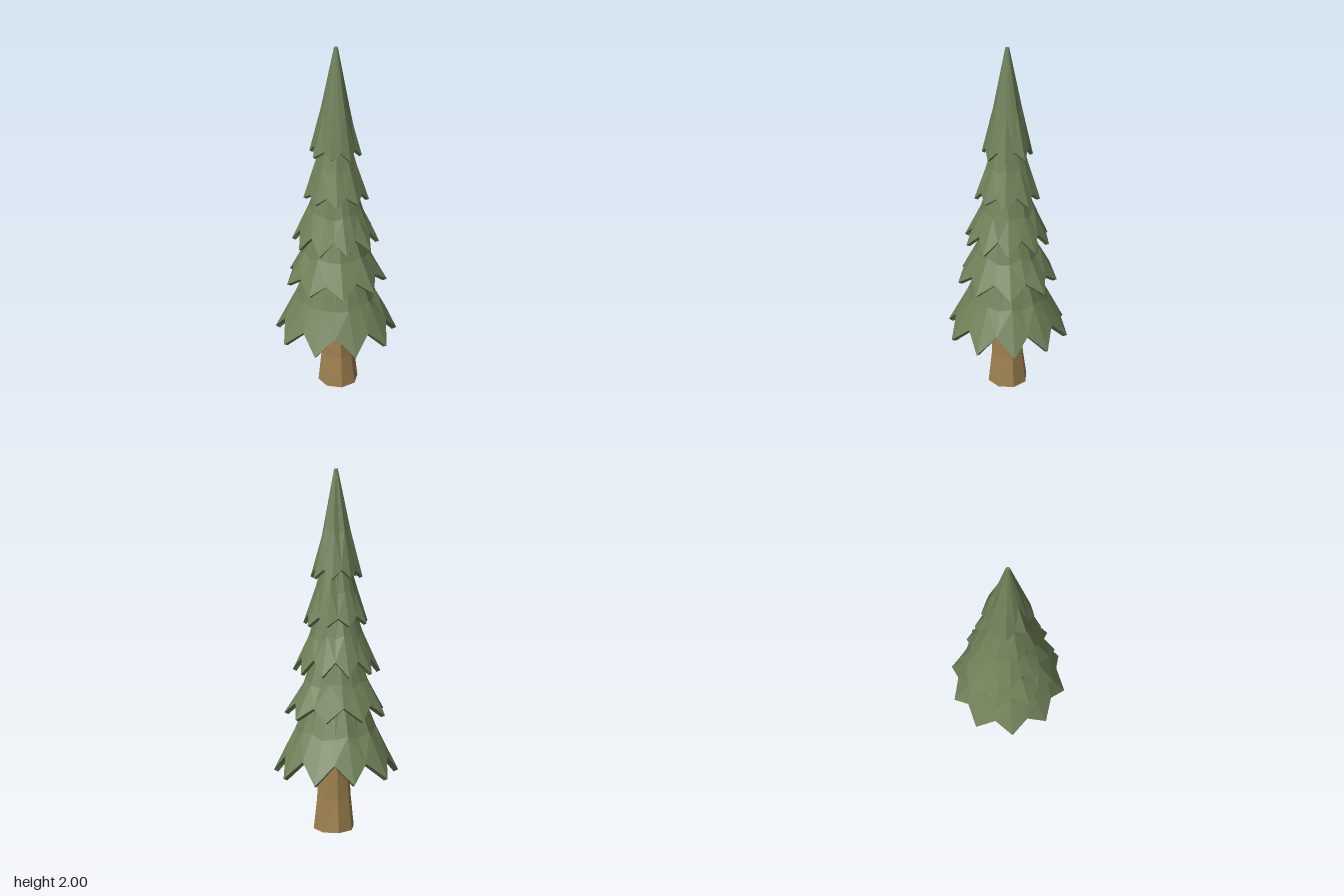
import * as THREE from 'three';

// Small seeded random in -1..1
let seed = 7;
const jitter = (a) => {
  seed = (seed * 16807) % 2147483647;
  return (seed / 2147483647 * 2 - 1) * a;
};

const green = new THREE.MeshStandardMaterial({ color: 0x6f8159, flatShading: true, side: THREE.DoubleSide });
const bark = new THREE.MeshStandardMaterial({ color: 0x9f814f, flatShading: true });

// Skins closed rings of points, given from top to bottom, counted from +x towards +z
function skin(rings, closeBottom) {
  const n = rings[0].length;
  const index = [];
  for (let i = 0; i < rings.length - 1; i++) {
    for (let j = 0; j < n; j++) {
      const a = i * n + j, b = i * n + (j + 1) % n, c = a + n, d = b + n;
      if (j % 2) index.push(a, b, c, b, d, c);
      else index.push(a, d, c, a, b, d);
    }
  }
  const last = (rings.length - 1) * n;
  for (let j = 1; j < n - 1; j++) {
    index.push(0, j + 1, j);
    if (closeBottom) index.push(last, last + j, last + j + 1);
  }
  const geo = new THREE.BufferGeometry();
  geo.setAttribute('position', new THREE.Float32BufferAttribute(rings.flat(2), 3));
  geo.setIndex(index);
  const flat = geo.toNonIndexed();
  flat.computeVertexNormals();
  return flat;
}

// One skirt of branches: a hollow shell with a zigzag hem, thick at the edge
function skirt({ name, n, phase, swing, top, mid, tip, notch, thick, wobble }) {
  const rings = [[], [], [], [], []];
  for (let j = 0; j < 2 * n; j++) {
    const isTip = j % 2 === 0;
    const even = phase + (j * Math.PI) / n;
    const a = even - swing * Math.sin(even) + jitter(wobble);
    const put = (ring, r, y) => rings[ring].push([Math.cos(a) * r - 0.003, y, Math.sin(a) * r]);
    const [hr, hy] = isTip ? tip : notch;
    const r = hr + jitter(wobble * 0.25), y = hy + jitter(wobble * 0.3);
    put(0, top[0], top[1]);
    put(1, mid[0] * (isTip ? 1.02 : 0.98) + jitter(wobble * 0.15), mid[1] + jitter(wobble));
    put(2, r, y);
    put(3, r - thick, y - thick * 0.5);
    put(4, mid[0] * 0.4, mid[1] + 0.12);
  }
  const mesh = new THREE.Mesh(skin(rings, false), green);
  mesh.name = name;
  return mesh;
}

export function createModel() {
  seed = 7;
  const tree = new THREE.Group();
  tree.name = 'pineTree';

  // Trunk: eight sides, flared at the foot
  const trunkRings = [[0.072, 0.75], [0.083, 0.42], [0.095, 0.18], [0.117, 0]].map(([r, y]) =>
    Array.from({ length: 8 }, (_, j) => {
      const a = ((j + 0.5) * Math.PI) / 4;
      const s = r * (1 + (y ? jitter(0.04) : 0));
      return [Math.cos(a) * s + 0.007, y, Math.sin(a) * s + 0.007];
    }));
  const trunk = new THREE.Mesh(skin(trunkRings, true), bark);
  trunk.name = 'trunk';
  tree.add(trunk);

  // Foliage: five skirts, each tucked under the one above; pairs are [radius, height]
  const foliage = new THREE.Group();
  foliage.name = 'foliage';
  const tiers = [
    { n: 10, phase: 0, swing: 0.05, top: [0.13, 0.82], mid: [0.222, 0.57], tip: [0.35, 0.34], notch: [0.296, 0.44], thick: 0.025, wobble: 0.015 },
    { n: 9, phase: -0.07, swing: 0, top: [0.1, 1.08], mid: [0.178, 0.85], tip: [0.285, 0.665], notch: [0.24, 0.735], thick: 0.022, wobble: 0.02 },
    { n: 10, phase: 0.02, swing: 0, top: [0.08, 1.32], mid: [0.145, 1.1], tip: [0.24, 0.905], notch: [0.2, 0.985], thick: 0.02, wobble: 0.02 },
    { n: 9, phase: 0.05, swing: 0, top: [0.06, 1.55], mid: [0.112, 1.36], tip: [0.18, 1.17], notch: [0.155, 1.215], thick: 0.018, wobble: 0.02 },
    { n: 8, phase: 0, swing: 0, top: [0.01, 2], mid: [0.075, 1.67], tip: [0.142, 1.42], notch: [0.121, 1.465], thick: 0.016, wobble: 0.02 },
  ];
  tiers.forEach((t, i) => foliage.add(skirt({ ...t, name: 'branchSkirt' + (i + 1) })));
  tree.add(foliage);
  return tree;
}
